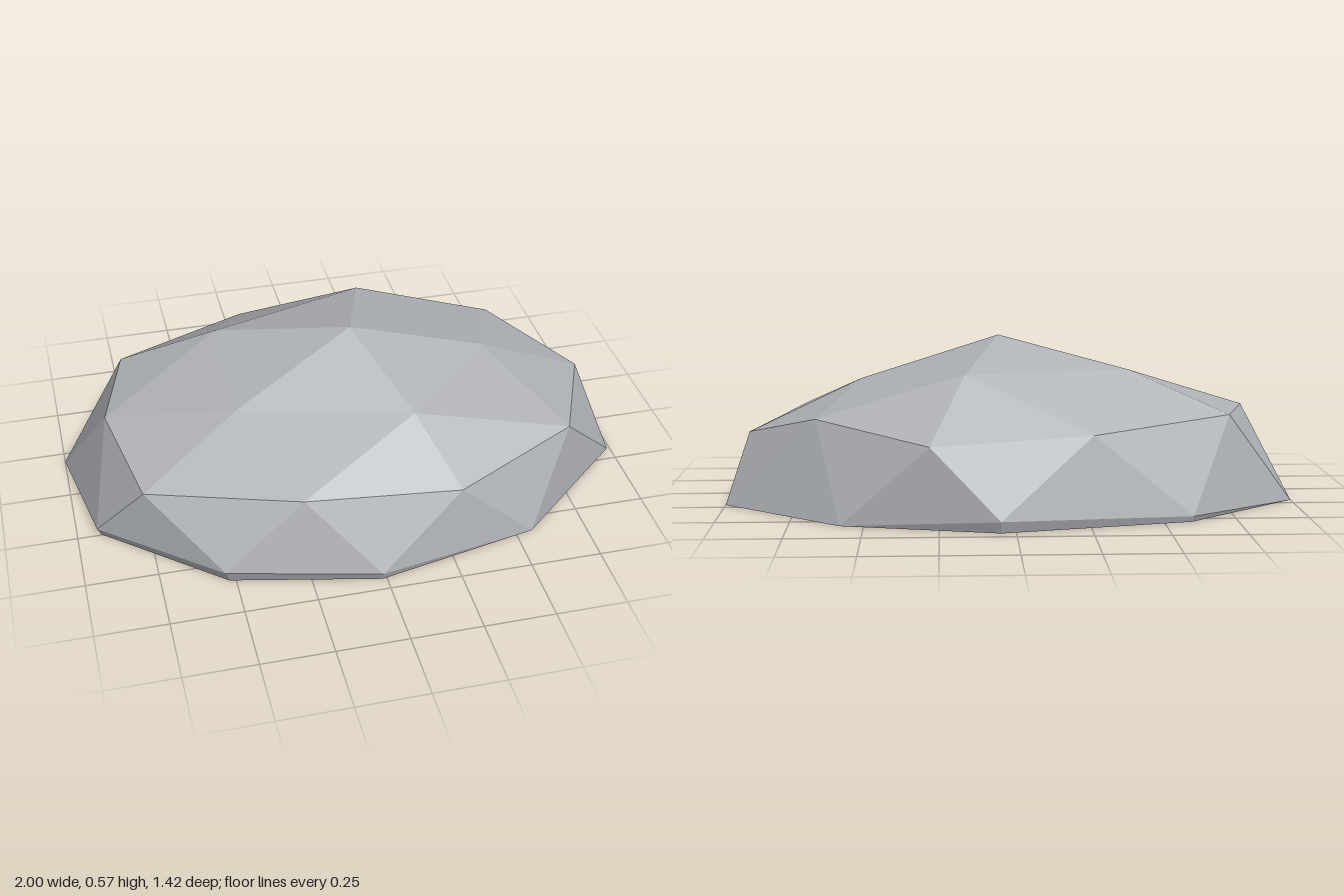
import * as THREE from 'three';

// Faceted boulder shell, open underneath: rings of points from the peak to the ground,
// each running counter-clockwise as seen from above.
const peak = [0.035, 0.575, 0.01];
const crown = [
  [0.53, 0.42, 0], [0.16, 0.48, -0.39], [-0.41, 0.475, -0.23], [-0.41, 0.43, 0.21], [0.18, 0.425, 0.365],
];
const shoulder = [
  [0.93, 0.235, -0.05], [0.67, 0.325, -0.36], [0.28, 0.275, -0.65], [-0.26, 0.3, -0.59], [-0.75, 0.33, -0.34],
  [-0.85, 0.32, 0], [-0.77, 0.255, 0.375], [-0.26, 0.295, 0.59], [0.285, 0.26, 0.61], [0.745, 0.285, 0.385],
];
const rim = [
  [1, 0, -0.21], [0.58, 0, -0.57], [0.05, 0.04, -0.715], [-0.6, 0.02, -0.555], [-1, 0, -0.2],
  [-0.93, 0.03, 0.25], [-0.535, 0.045, 0.6], [-0.015, 0.03, 0.71], [0.56, 0, 0.575], [0.99, 0, 0.19],
];

export function createModel() {
  const stone = new THREE.MeshStandardMaterial({ color: 0xb0b3b8, side: THREE.DoubleSide, flatShading: true });
  stone.name = 'stone grey';

  const positions = [];
  const tri = (a, b, c) => positions.push(...a, ...b, ...c);

  // Rounded cap: peak, crown and shoulder
  for (let i = 0; i < 5; i++) {
    const a = crown[i], b = crown[(i + 1) % 5];
    const s0 = shoulder[2 * i], s1 = shoulder[2 * i + 1], s2 = shoulder[(2 * i + 2) % 10];
    tri(peak, a, b);
    tri(a, s0, s1);
    tri(a, s1, b);
    tri(b, s1, s2);
  }

  // Steep sides, then the narrow undercut where the rim lifts off the ground
  const ground = rim.map(([x, y, z]) => [x * (1 - y / 2), 0, z * (1 - y / 2)]);
  for (let j = 0; j < 10; j++) {
    const k = (j + 1) % 10;
    tri(shoulder[j], rim[j], shoulder[k]);
    tri(rim[j], rim[k], shoulder[k]);
    if (rim[j][1] > 0) tri(rim[j], ground[j], ground[k]);
    if (rim[k][1] > 0) tri(rim[j], ground[k], rim[k]);
  }

  const geometry = new THREE.BufferGeometry();
  geometry.setAttribute('position', new THREE.Float32BufferAttribute(positions, 3));
  geometry.computeVertexNormals();

  const boulder = new THREE.Mesh(geometry, stone);
  boulder.name = 'boulder';
  const group = new THREE.Group();
  group.name = 'rock';
  group.add(boulder);
  return group;
}
